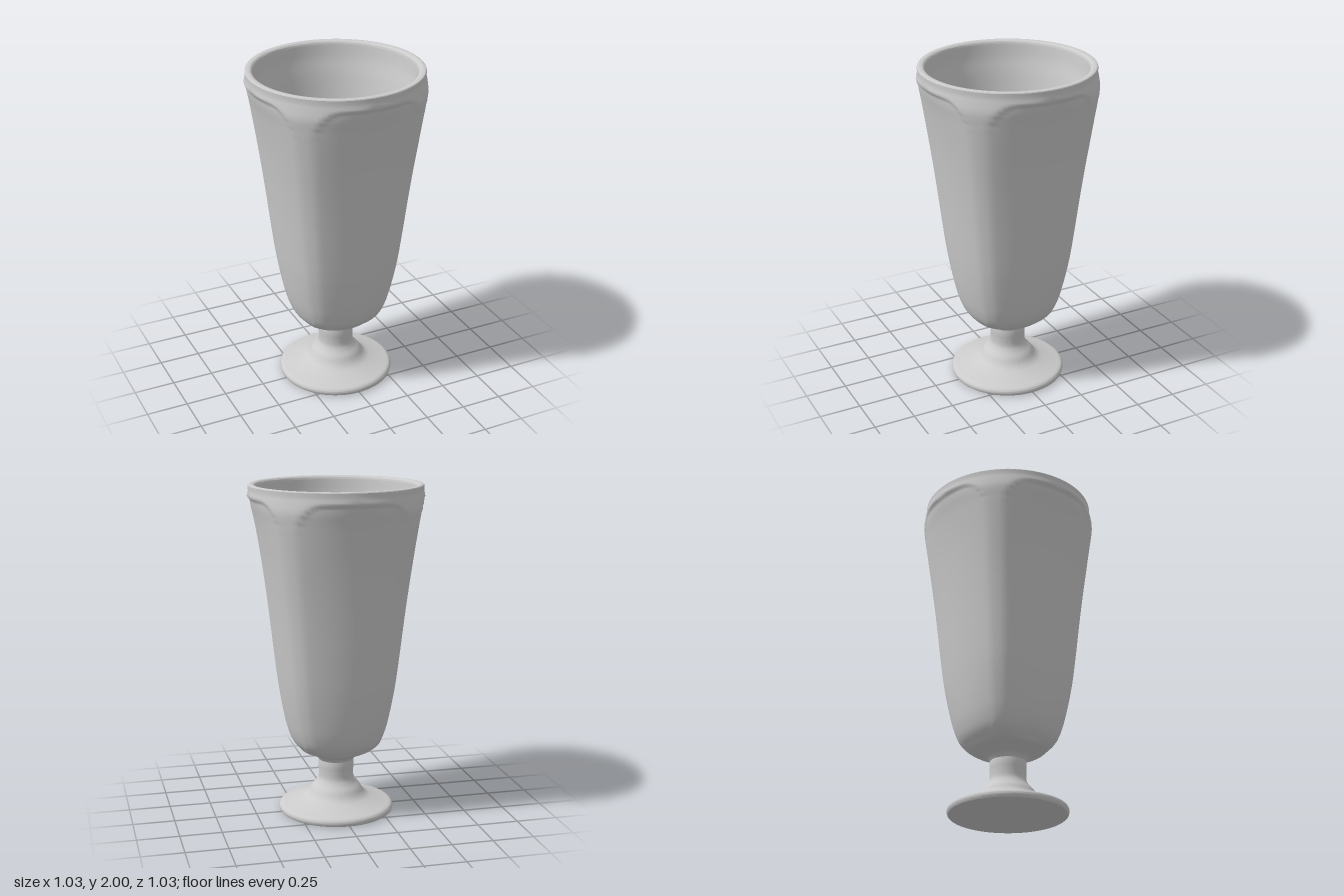
import * as THREE from 'three';
import { mergeVertices, toCreasedNormals } from 'three/addons/utils/BufferGeometryUtils.js';

const SEGMENTS = 128;
const material = new THREE.MeshStandardMaterial({ color: 0xcccccc });

// Smooth curve through [radius, y] pairs, as lathe points
function smooth(pairs, divisions) {
  const curve = new THREE.CatmullRomCurve3(
    pairs.map(([r, y]) => new THREE.Vector3(r, y, 0)), false, 'centripetal');
  return curve.getPoints(divisions).map(p => new THREE.Vector2(Math.max(p.x, 0), p.y));
}

function addLathe(group, name, points, shape, crease = 0.7) {
  let geometry = new THREE.LatheGeometry(points, SEGMENTS);
  if (shape) shape(geometry);
  geometry.deleteAttribute('normal');
  geometry.deleteAttribute('uv');
  geometry = mergeVertices(geometry, 1e-5);
  if (crease) geometry = toCreasedNormals(geometry, crease);
  else geometry.computeVertexNormals();
  const mesh = new THREE.Mesh(geometry, material);
  mesh.name = name;
  group.add(mesh);
}

// Bowl wall: [ridge radius, y, panel centre radius]
const wall = [
  [0.105, 0.32, 0.105], [0.122, 0.342, 0.122], [0.165, 0.365, 0.16], [0.235, 0.4, 0.222],
  [0.285, 0.45, 0.265], [0.317, 0.52, 0.293], [0.347, 0.63, 0.318], [0.382, 0.8, 0.345],
  [0.41, 1.0, 0.369], [0.435, 1.2, 0.391], [0.462, 1.4, 0.415], [0.492, 1.6, 0.443],
  [0.521, 1.8, 0.479], [0.529, 1.88, 0.498], [0.521, 1.935, 0.508], [0.515, 1.965, 0.515],
  [0.515, 1.995, 0.515],
];
const ROWS = 176;

// Four shallow panels with rounded corners, leaving narrow ridges on the diagonals
function carvePanels(rows) {
  return geometry => {
    const pos = geometry.attributes.position;
    for (let i = 0; i < pos.count; i++) {
      const x = pos.getX(i), y = pos.getY(i), z = pos.getZ(i);
      const { x: ridge, z: centre } = rows[i % rows.length];
      const angle = Math.atan2(x, z);
      const quarter = Math.PI / 2;
      const t = Math.abs(angle - Math.round(angle / quarter) * quarter) / (quarter / 2);
      const corner = Math.min(Math.max(0, (t - 0.4) / 0.45), 1.1) ** 3;
      const top = 1.937 - 0.13 * corner, bottom = 0.375 + 0.09 * corner;
      const mask = (1 - THREE.MathUtils.smoothstep(y, top - 0.025, top)) *
        THREE.MathUtils.smoothstep(y, bottom, bottom + 0.035);
      const cut = 1 - (t / 0.87) ** 2;
      // soft maximum rounds the panel edge into the ridge
      const depth = (cut + Math.sqrt(cut * cut + 0.006)) / 2;
      const r = ridge - (ridge - centre) * depth * mask;
      // the band above the panels settles back to the round rim
      const band = Math.min(r, THREE.MathUtils.lerp(0.516, 0.535, Math.min(t * 1.2, 1)));
      pos.setXYZ(i, Math.sin(angle) * band, y, Math.cos(angle) * band);
    }
  };
}

export function createModel() {
  const group = new THREE.Group();
  group.name = 'footedGlass';

  // Foot and stem
  const underside = [new THREE.Vector2(0, 0), new THREE.Vector2(0.34, 0)];
  addLathe(group, 'footAndStem', [...underside, ...smooth([
    [0.347, 0.006], [0.35, 0.025], [0.34, 0.041], [0.3, 0.054], [0.24, 0.073],
    [0.195, 0.092], [0.172, 0.112], [0.15, 0.145], [0.12, 0.18], [0.108, 0.205],
    [0.106, 0.25], [0.108, 0.29], [0.105, 0.33],
  ], 60)]);

  // Outer bowl
  const rows = new THREE.CatmullRomCurve3(
    wall.map(p => new THREE.Vector3(...p)), false, 'centripetal').getSpacedPoints(ROWS);
  addLathe(group, 'panelledBowl', rows.map(p => new THREE.Vector2(p.x, p.y)), carvePanels(rows), 0);

  // Rounded rim
  addLathe(group, 'rim', smooth([
    [0.515, 1.994], [0.511, 2], [0.485, 2], [0.475, 1.994], [0.47, 1.98],
  ], 20), null, 1.2);

  // Inside of the bowl
  addLathe(group, 'bowlInside', smooth([
    [0.47, 1.98], [0.46, 1.9], [0.438, 1.8], [0.404, 1.6], [0.375, 1.4], [0.35, 1.2],
    [0.328, 1.0], [0.303, 0.8], [0.272, 0.62], [0.235, 0.52], [0.17, 0.452],
    [0.09, 0.424], [0, 0.415],
  ], 70));

  return group;
}
